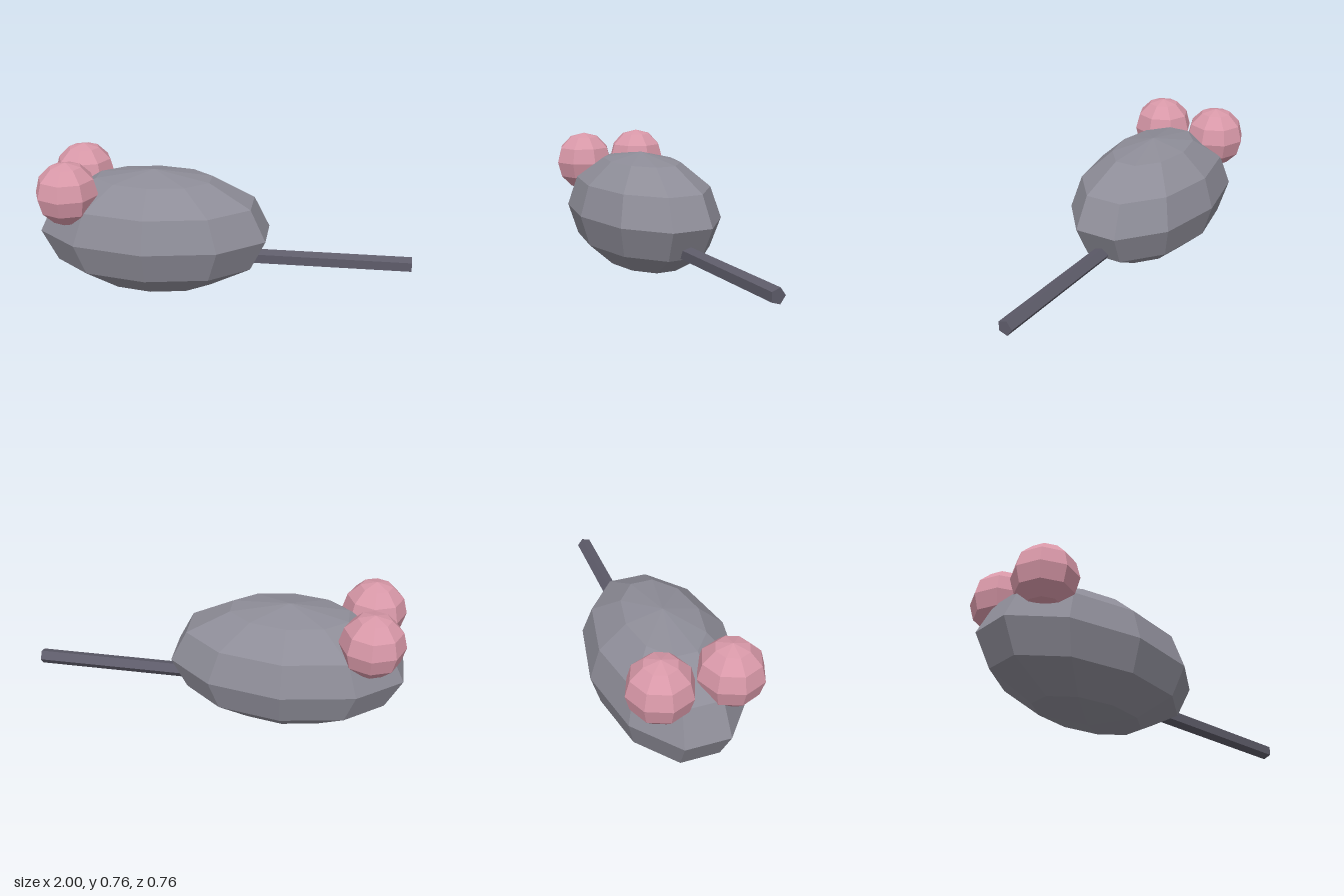
import * as THREE from 'three';

export function createModel() {
  const group = new THREE.Group();
  const flat = (name, color) => {
    const m = new THREE.MeshStandardMaterial({ color, flatShading: true });
    m.name = name;
    return m;
  };
  const grey = flat('bodyGrey', 0x8e8d98);
  const pink = flat('earPink', 0xd898a8);
  const darkGrey = flat('tailGrey', 0x5e5c6a);

  const add = (name, geometry, material, x, y, z) => {
    const mesh = new THREE.Mesh(geometry, material);
    mesh.name = name;
    mesh.position.set(x, y, z);
    group.add(mesh);
    return mesh;
  };

  // Faceted egg-shaped body, long axis along x with flat facets at both ends
  const bodyGeometry = new THREE.SphereGeometry(1, 10, 6);
  bodyGeometry.rotateY(Math.PI / 2);
  bodyGeometry.scale(0.644, 0.342, 0.38);
  add('body', bodyGeometry, grey, -0.387, 0.342, 0);

  // Round ears, mirrored across z
  for (const side of [1, -1]) {
    add(side > 0 ? 'frontEar' : 'backEar',
      new THREE.SphereGeometry(0.17, 8, 6), pink, -0.82, 0.587, side * 0.174);
  }

  // Straight five-sided tail reaching from inside the body to the far end
  const tailGeometry = new THREE.CylinderGeometry(0.042, 0.042, 1, 5, 1, false, Math.PI);
  tailGeometry.rotateZ(Math.PI / 2);
  add('tail', tailGeometry, darkGrey, 0.5, 0.205, 0);

  return group;
}
